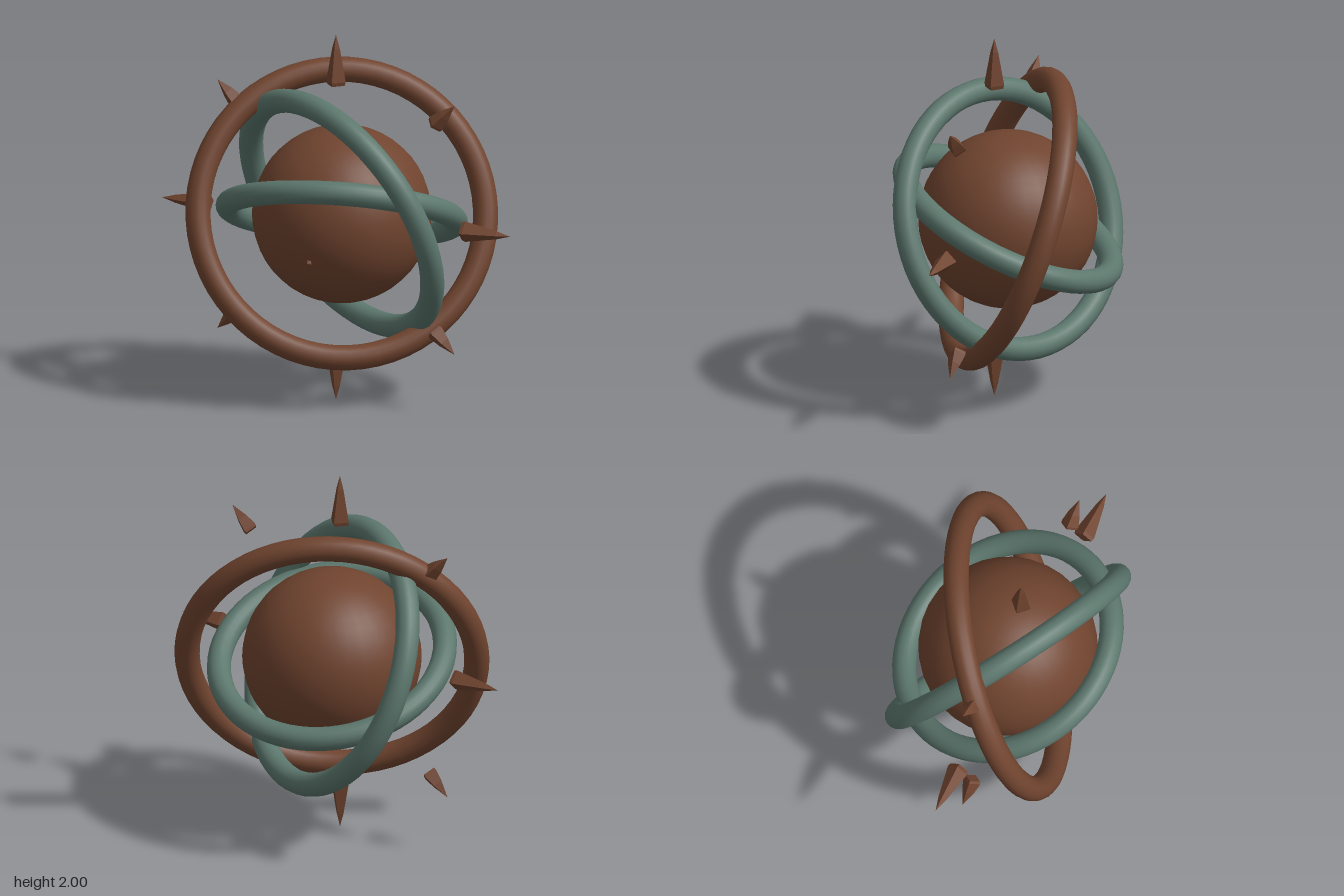
import * as THREE from 'three';

export function createModel() {
  const model = new THREE.Group();
  model.name = 'ringedOrb';
  const brown = new THREE.MeshStandardMaterial({ color: 0x70442f });
  brown.name = 'rust brown';
  const teal = new THREE.MeshStandardMaterial({ color: 0x5c776d });
  teal.name = 'verdigris';
  // faceted version of the same brown for the spikes
  const facetedBrown = new THREE.MeshStandardMaterial({ color: 0x70442f, flatShading: true });
  facetedBrown.name = 'rust brown faceted';

  const add = (name, geometry, material, x = 0, y = 1, z = 0) => {
    const mesh = new THREE.Mesh(geometry, material);
    mesh.name = name;
    mesh.position.set(x, y, z);
    model.add(mesh);
    return mesh;
  };

  // Central orb
  add('orb', new THREE.SphereGeometry(0.475, 32, 24), brown);

  // Tiny stud on the front of the orb
  const stud = add('frontStud', new THREE.ConeGeometry(0.024, 0.03, 6), brown, 0, 0.845, 0.455);
  stud.rotation.x = Math.PI / 2;

  // Three tilted rings, each given by its axis
  const ring = (name, radius, tube, axis, material) => {
    const mesh = add(name, new THREE.TorusGeometry(radius, tube, 16, 64), material);
    mesh.quaternion.setFromUnitVectors(
      new THREE.Vector3(0, 0, 1), new THREE.Vector3(...axis).normalize());
  };
  ring('outerRing', 0.767, 0.067, [0.48, 0.35, 0.80], brown);
  ring('middleRing', 0.695, 0.064, [0.436, 0.371, -0.816], teal);
  ring('innerRing', 0.605, 0.064, [-0.1, 0.9, -0.42], teal);

  // Four-sided spikes: long on the axes, short on the diagonals
  const spikeGeometry = (profile) =>
    new THREE.LatheGeometry(profile.map(([r, y]) => new THREE.Vector2(r, y)), 4);
  const longSpike = spikeGeometry([[0, 0], [0.05, 0], [0.056, 0.02], [0.022, 0.2], [0, 0.275]]);
  const shortSpike = spikeGeometry([[0, 0], [0.044, 0], [0.049, 0.015], [0.034, 0.08], [0, 0.168]]);
  for (let i = 0; i < 8; i++) {
    const angle = (i * Math.PI) / 4;
    const long = i % 2 === 0;
    const start = long ? 0.725 : 0.797;
    const spike = add(long ? 'longSpike' : 'shortSpike', long ? longSpike : shortSpike, facetedBrown,
      Math.sin(angle) * start, 1 + Math.cos(angle) * start, 0.077);
    spike.rotation.z = -angle;
  }
  return model;
}
